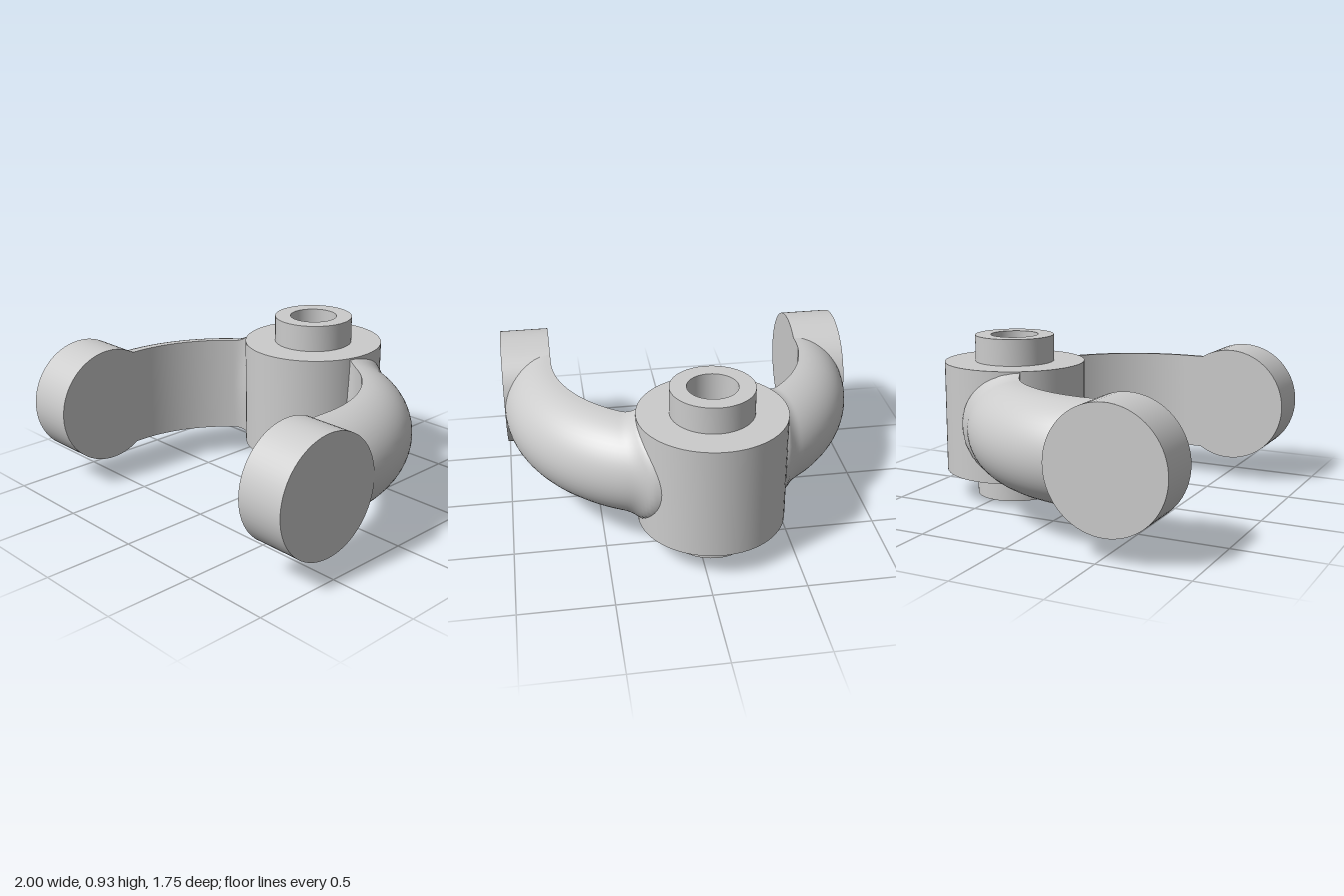
import * as THREE from 'three';
import { toCreasedNormals } from 'three/addons/utils/BufferGeometryUtils.js';

const MID_Y = 0.465;
const HUB = { x: -0.08, z: -0.475, r: 0.4 };
const INNER = 0.72, ROUND = 0.28;

const material = new THREE.MeshStandardMaterial({ color: 0xcccccc });

function addMesh(group, name, geometry) {
  const mesh = new THREE.Mesh(toCreasedNormals(geometry, 0.7), material);
  mesh.name = name;
  group.add(mesh);
  return mesh;
}

// D-shaped section: half round on the outside, flat on the inside
function armSection() {
  const points = [];
  const arcSteps = 28, flatSteps = 6;
  for (let i = 0; i <= arcSteps; i++) {
    const t = -Math.PI / 2 + (i / arcSteps) * Math.PI;
    points.push([INNER + ROUND * Math.cos(t), ROUND * Math.sin(t)]);
  }
  for (let i = 1; i < flatSteps; i++) points.push([INNER, ROUND - (2 * ROUND * i) / flatSteps]);
  return points;
}

// Sweep the section along a straight run and an arc, flaring into the hub
function armGeometry(side, arcZ, endAngle) {
  const section = armSection(), n = section.length;
  const stations = [[0.5, 0]];
  const steps = 64;
  for (let i = 0; i <= steps; i++) stations.push([arcZ, (endAngle * i) / steps]);

  const positions = [], index = [];
  const place = (u, z, a) => [side * u * Math.cos(a), z - u * Math.sin(a)];
  for (const [z, a] of stations) {
    for (const [u, v] of section) {
      let [x, pz] = place(u, z, a);
      const gap = Math.max(0, Math.hypot(x - HUB.x, pz - HUB.z) - HUB.r);
      const flare = 0.03 * Math.max(0, 1 - gap / 0.08) ** 2;
      const du = u - 0.83, len = Math.hypot(du, v);
      [x, pz] = place(u + (du / len) * flare, z, a);
      positions.push(x, MID_Y + v + (v / len) * flare, pz);
    }
  }
  for (let i = 0; i < stations.length - 1; i++) {
    for (let j = 0; j < n; j++) {
      const a = i * n + j, b = i * n + (j + 1) % n, c = a + n, d = b + n;
      if (side > 0) index.push(a, c, b, b, c, d);
      else index.push(a, b, c, b, d, c);
    }
  }
  const geometry = new THREE.BufferGeometry();
  geometry.setAttribute('position', new THREE.Float32BufferAttribute(positions, 3));
  geometry.setIndex(index);
  return geometry;
}

function turned(profile) {
  return new THREE.LatheGeometry(profile.map(([r, y]) => new THREE.Vector2(r, y)), 72);
}

export function createModel() {
  const model = new THREE.Group();
  model.name = 'fork';

  // Hub with a boss above and below; the upper boss has a blind bore
  const hub = new THREE.Group();
  hub.name = 'hub';
  hub.position.set(HUB.x, 0, HUB.z);
  addMesh(hub, 'hubBody', turned([[0, 0.15], [HUB.r, 0.15], [HUB.r, 0.78], [0.2, 0.78]]));
  addMesh(hub, 'upperBoss', turned([[0.225, 0.76], [0.225, 0.93], [0.135, 0.93], [0.135, 0.65], [0, 0.65]]));
  addMesh(hub, 'lowerBoss', turned([[0, 0], [0.225, 0], [0.225, 0.17]]));
  model.add(hub);

  // Curved arms, each ending in a thick round pad
  const arms = [
    { name: 'left', side: 1, arcZ: 0.27, angle: 80 },
    { name: 'right', side: -1, arcZ: 0.33, angle: 70 },
  ];
  for (const { name, side, arcZ, angle } of arms) {
    addMesh(model, name + 'Arm', armGeometry(side, arcZ, THREE.MathUtils.degToRad(angle)));
    const pad = addMesh(model, name + 'EndPad',
      new THREE.CylinderGeometry(0.33, 0.33, 0.28, 72).rotateZ(Math.PI / 2));
    pad.position.set(side * 0.86, MID_Y, 0.545);
  }
  return model;
}
